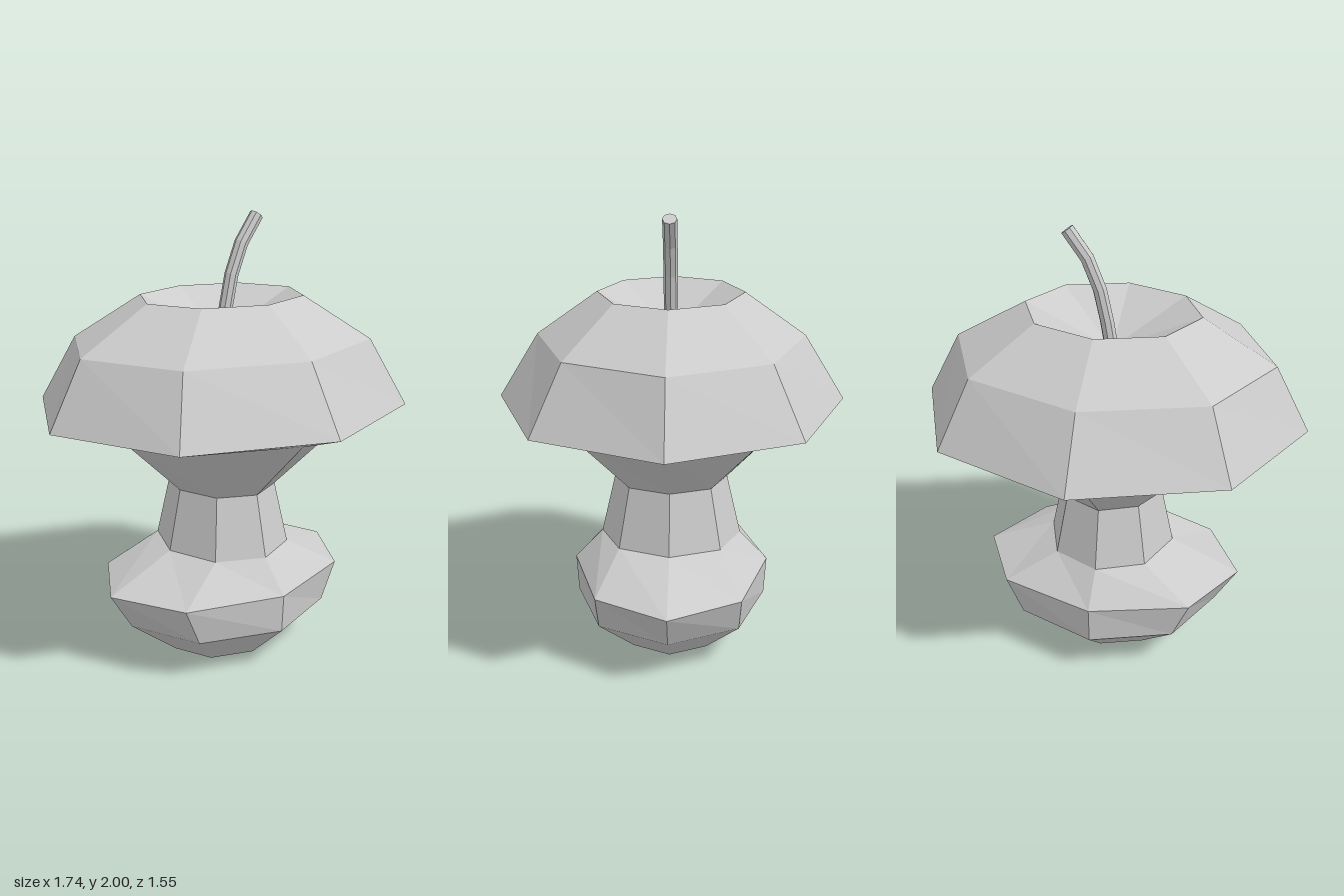
import * as THREE from 'three';

const SIDES = 8;

// Profile rings from the bottom dimple to the top dimple: [y, half width in x, half depth in z]
const RINGS = [
  [0.09, 0, 0],
  [0, 0.27, 0.24],
  [0.195, 0.51, 0.445],
  [0.37, 0.615, 0.455],
  [0.51, 0.295, 0.325],
  [0.79, 0.235, 0.26],
  [1.09, 0.545, 0.555],
  [1.17, 0.87, 0.775],
  [1.46, 0.715, 0.595],
  [1.65, 0.39, 0.325],
  [1.47, 0, 0],
];

// Eight-sided lathe whose rings are each squashed to their own depth
function coreGeometry() {
  const profile = RINGS.map(([y, rx]) => new THREE.Vector2(rx, y));
  const geometry = new THREE.LatheGeometry(profile, SIDES);
  const pos = geometry.attributes.position;
  for (let i = 0; i < pos.count; i++) {
    const [, rx, rz] = RINGS[i % RINGS.length];
    if (rx > 0) pos.setZ(i, pos.getZ(i) * rz / rx);
  }
  geometry.computeVertexNormals();
  return geometry;
}

export function createModel() {
  const group = new THREE.Group();
  group.name = 'appleCore';
  const material = new THREE.MeshStandardMaterial({ color: 0xcccccc, flatShading: true });

  const add = (name, geometry) => {
    const mesh = new THREE.Mesh(geometry, material);
    mesh.name = name;
    group.add(mesh);
    return mesh;
  };

  add('eatenApple', coreGeometry());

  // Bent stalk rising from the top dimple and leaning to +x
  const path = new THREE.CatmullRomCurve3([
    new THREE.Vector3(0, 1.45, 0),
    new THREE.Vector3(0.05, 1.72, 0),
    new THREE.Vector3(0.115, 1.88, 0),
    new THREE.Vector3(0.193, 1.985, 0),
  ]);
  add('stalk', new THREE.TubeGeometry(path, 4, 0.031, SIDES));

  // Flat cut end of the stalk
  const end = add('stalkEnd', new THREE.CircleGeometry(0.031, SIDES));
  end.position.copy(path.getPoint(1));
  end.lookAt(end.position.clone().add(path.getTangent(1)));

  return group;
}
